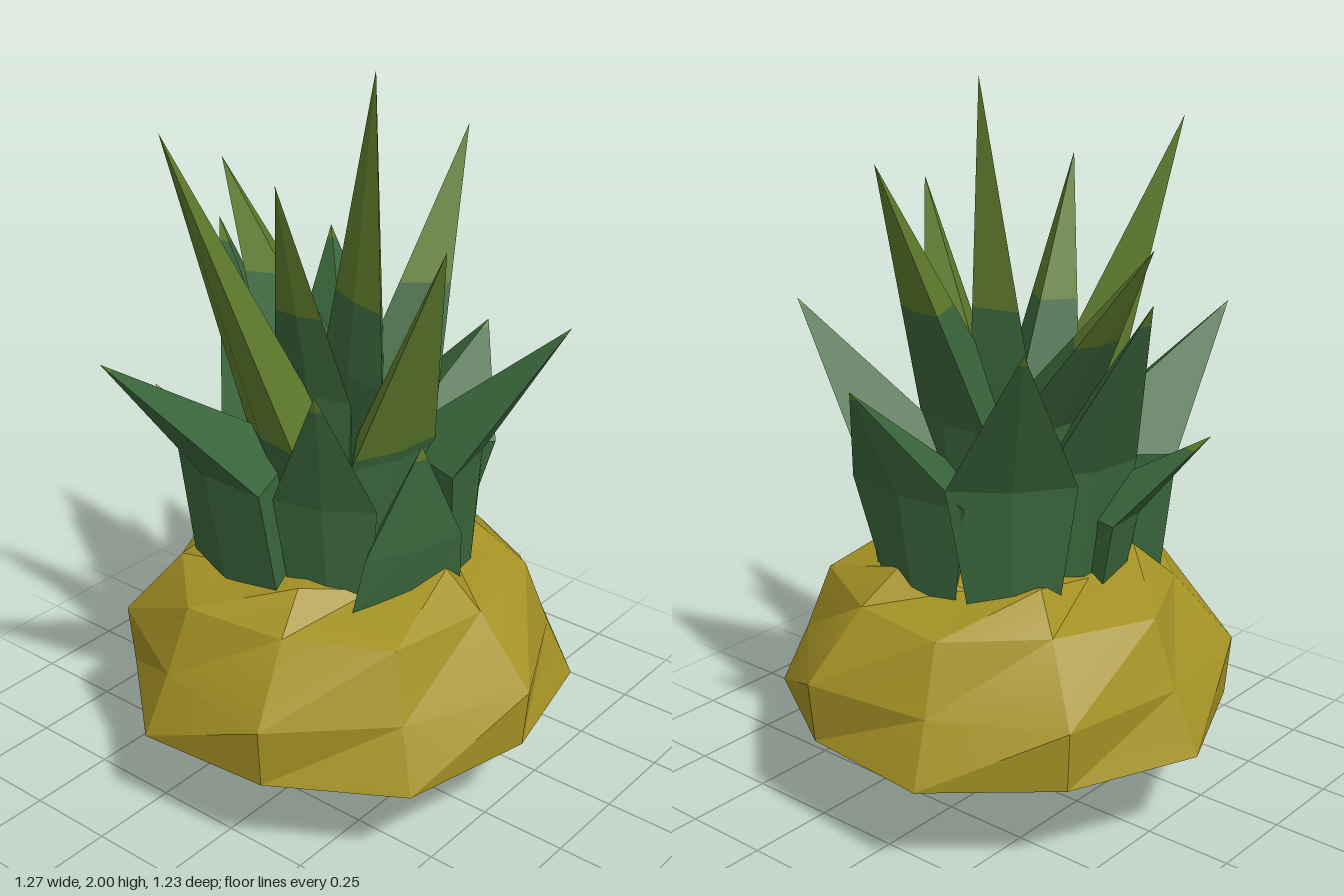
import * as THREE from 'three';
import { toCreasedNormals } from 'three/addons/utils/BufferGeometryUtils.js';

const mat = (name, color) => Object.assign(new THREE.MeshStandardMaterial({ color }), { name });

// Skin a stack of closed loops (bottom to top); zero-area triangles are dropped
function loft(sections) {
  const pos = [];
  const tri = (a, b, c) => {
    const n = b.clone().sub(a).cross(c.clone().sub(a));
    if (n.length() > 1e-7) for (const p of [a, b, c]) pos.push(p.x, p.y, p.z);
  };
  for (let s = 0; s < sections.length - 1; s++) {
    const lo = sections[s], hi = sections[s + 1], n = lo.length;
    for (let i = 0; i < n; i++) {
      const j = (i + 1) % n;
      tri(lo[i], hi[i], lo[j]);
      tri(hi[i], hi[j], lo[j]);
    }
  }
  const g = new THREE.BufferGeometry();
  g.setAttribute('position', new THREE.Float32BufferAttribute(pos, 3));
  g.computeVertexNormals();
  return g;
}

// Ten-sided ring whose corners alternate between two radii and heights
function ring(rEven, rOdd, yEven, yOdd = yEven, cx = 0) {
  return Array.from({ length: 10 }, (_, i) => {
    const a = i * Math.PI / 5, r = i % 2 ? rOdd : rEven;
    return new THREE.Vector3(cx + r * Math.cos(a), i % 2 ? yOdd : yEven, r * Math.sin(a));
  });
}

// Diamond cross-section of a leaf: broad across, nearly flat outward, deep ridge inward
function diamond(c, angle, half, depth) {
  const u = new THREE.Vector3(Math.sin(angle), 0, -Math.cos(angle));
  const v = new THREE.Vector3(Math.cos(angle), 0, Math.sin(angle));
  const at = (d, k) => c.clone().addScaledVector(d, k);
  return [at(u, half), at(v, depth * 0.15), at(u, -half), at(v, -depth)];
}

// tip, widest point, base, half width, base half width, inward depth,
// height where the colour turns, facing angle (optional)
const INNER = [
  [[0.03, 2.0, -0.08], [0.02, 1.2, 0], [0.02, 0.66, 0], 0.15, 0.12, 0.1, 1.4, 1.91],
  [[-0.29, 1.88, 0.37], [-0.07, 1.02, 0.21], [-0.06, 0.66, 0.17], 0.15, 0.12, 0.18, 1.07, 1.95],
  [[0.1, 1.81, -0.39], [0.06, 1.1, -0.16], [0.04, 0.66, -0.13], 0.15, 0.12, 0.2, 1.42],
  [[-0.02, 1.77, 0.25], [-0.05, 1.15, 0.08], [-0.04, 0.66, 0.07], 0.12, 0.1, 0.12, 1.4],
  [[0.42, 1.67, 0.14], [0.2, 1.03, 0.05], [0.16, 0.66, 0.05], 0.14, 0.12, 0.16, 1.06, 0.25],
  [[-0.57, 1.65, -0.15], [-0.2, 1.12, -0.08], [-0.16, 0.66, -0.06], 0.14, 0.12, 0.18, 1.38],
];
const OUTER = [
  [[-0.53, 1.5, -0.09], [-0.28, 1.0, 0.0], [-0.24, 0.66, 0.0], 0.15, 0.12, 0.18, 1.44],
  [[-0.39, 1.42, -0.41], [-0.22, 1.0, -0.25], [-0.21, 0.66, -0.23], 0.17, 0.12, 0.2, 1.39],
  [[0.53, 1.38, -0.26], [0.29, 1.0, -0.17], [0.28, 0.66, -0.16], 0.19, 0.12, 0.22, 1.36],
  [[-0.3, 1.34, 0.6], [-0.17, 0.98, 0.33], [-0.14, 0.66, 0.3], 0.19, 0.2, 0.28, 1.32, 1.8],
  [[0.21, 1.32, 0.38], [0.14, 0.95, 0.26], [0.13, 0.66, 0.23], 0.14, 0.11, 0.18, 1.27, 1.15],
  [[0.13, 1.24, -0.47], [0.06, 0.95, -0.34], [0.05, 0.66, -0.31], 0.2, 0.13, 0.22, 1.22, -1.55],
  [[0.33, 1.12, 0.1], [0.31, 0.82, 0.1], [0.29, 0.66, 0.1], 0.15, 0.17, 0.16, 1.08, 0.35],
  [[-0.52, 1.09, 0.2], [-0.31, 0.85, 0.13], [-0.28, 0.66, 0.12], 0.13, 0.12, 0.2, 1.05],
];

function makeLeaf([tip, mid, base, half, rootHalf, depth, turnY, facing], name, lower, upper) {
  const [t, m, b] = [tip, mid, base].map(p => new THREE.Vector3(...p));
  const angle = facing ?? Math.atan2(t.z - b.z, t.x - b.x);
  const k = (turnY - m.y) / (t.y - m.y);
  const wide = diamond(m, angle, half, depth);
  const turn = wide.map(p => p.clone().lerp(t, k));
  const root = diamond(b, angle, rootHalf, depth * 0.8);
  const leaf = new THREE.Group();
  leaf.name = name;
  const blade = new THREE.Mesh(loft([root, wide, turn]), lower);
  blade.name = 'leafBlade';
  const point = new THREE.Mesh(loft([turn, turn.map(() => t)]), upper);
  point.name = 'leafTip';
  leaf.add(blade, point);
  return leaf;
}

export function createModel() {
  const model = new THREE.Group();
  model.name = 'pineappleTop';
  const rind = mat('golden rind', 0xa59225);
  const flesh = mat('pale underside', 0xdcca76);
  const green = mat('leaf green', 0x3a663b);
  const olive = mat('leaf tip olive', 0x5e7b2c);

  // Faceted fruit with alternating bulges
  const rim = ring(0.61, 0.645, 0.28);
  const fruit = new THREE.Mesh(toCreasedNormals(loft([
    rim, ring(0.625, 0.57, 0.45), ring(0.46, 0.5, 0.635), ring(0.345, 0.28, 0.725, 0.69), ring(0, 0, 0.69),
  ]), 0.4), rind);
  fruit.name = 'fruit';

  // Shallow pointed underside
  const underside = new THREE.Mesh(toCreasedNormals(loft([ring(0, 0, 0, 0, 0.01), rim]), 0.6), flesh);
  underside.name = 'underside';
  model.add(fruit, underside);

  // Crown of leaves
  const crown = new THREE.Group();
  crown.name = 'crown';
  INNER.forEach(l => crown.add(makeLeaf(l, 'innerLeaf', green, olive)));
  OUTER.forEach(l => crown.add(makeLeaf(l, 'outerLeaf', green, olive)));
  model.add(crown);
  return model;
}
